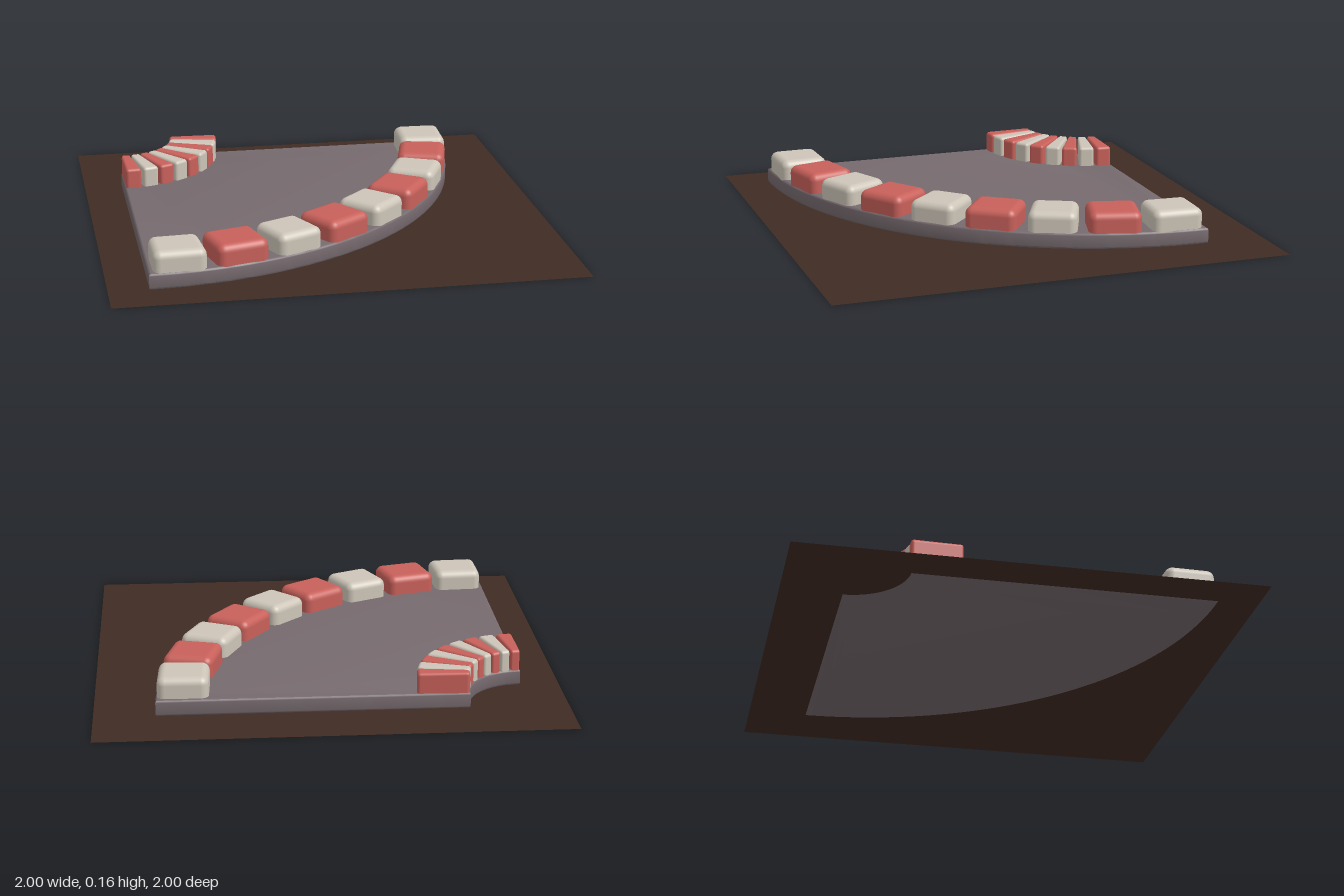
import * as THREE from 'three';
import { toCreasedNormals } from 'three/addons/utils/BufferGeometryUtils.js';
import { RoundedBoxGeometry } from 'three/addons/geometries/RoundedBoxGeometry.js';

const CX = -0.83, CZ = -0.74; // centre of the quarter bend
const INNER = 0.25, OUTER = 1.57;

const material = (name, color, side = THREE.FrontSide) => {
  const m = new THREE.MeshStandardMaterial({ color, side });
  m.name = name;
  return m;
};

// Rounded kerb stone: local x points outward, z runs along the curve and tapers inward
function stoneGeometry(depth, height, innerWidth, outerWidth, radius) {
  const geo = new RoundedBoxGeometry(depth, height, outerWidth, 4, radius);
  const p = geo.attributes.position;
  for (let i = 0; i < p.count; i++) {
    const t = THREE.MathUtils.clamp(p.getX(i) / depth + 0.5, 0, 1);
    p.setZ(i, p.getZ(i) * THREE.MathUtils.lerp(innerWidth / outerWidth, 1, t));
  }
  return geo;
}

export function createModel() {
  const model = new THREE.Group();
  model.name = 'trackCorner';
  const brown = material('groundBrown', 0x402b23, THREE.DoubleSide);
  const grey = material('asphaltGrey', 0x766a6e);
  const red = material('kerbRed', 0xc8605a);
  const cream = material('kerbCream', 0xcdc5b8);

  const add = (parent, name, geo, mat) => {
    const mesh = new THREE.Mesh(geo, mat);
    mesh.name = name;
    parent.add(mesh);
    return mesh;
  };

  // Flat square ground, a hair above the slab's underside
  const ground = add(model, 'ground', new THREE.PlaneGeometry(2, 2).rotateX(-Math.PI / 2), brown);
  ground.position.y = 0.001;

  // Quarter-ring road slab with softened edges
  const shape = new THREE.Shape();
  shape.moveTo(INNER, 0);
  shape.lineTo(OUTER, 0);
  shape.absarc(0, 0, OUTER, 0, Math.PI / 2, false);
  shape.lineTo(0, INNER);
  shape.absarc(0, 0, INNER, Math.PI / 2, 0, true);
  const slab = new THREE.ExtrudeGeometry(shape, {
    depth: 0.05, bevelEnabled: true, bevelThickness: 0.01, bevelSize: 0.01,
    bevelOffset: -0.01, bevelSegments: 3, curveSegments: 40,
  });
  slab.rotateX(Math.PI / 2).translate(CX, 0.06, CZ);
  add(model, 'roadSlab', toCreasedNormals(slab, 0.6), grey);

  // Row of nine alternating stones around the bend
  const kerb = (name, radius, firstMat, secondMat, geometryFor, turnFor) => {
    const group = new THREE.Group();
    group.name = name;
    for (let i = 0; i < 9; i++) {
      const angle = THREE.MathUtils.degToRad(5 + 10 * i);
      const stone = add(group, name + 'Stone' + (i + 1), geometryFor(i), i % 2 ? secondMat : firstMat);
      stone.position.set(CX + radius * Math.cos(angle), 0.081, CZ + radius * Math.sin(angle));
      stone.rotation.y = -angle + turnFor(i);
    }
    model.add(group);
  };

  const creamStone = stoneGeometry(0.217, 0.156, 0.205, 0.215, 0.034);
  const redStone = stoneGeometry(0.217, 0.156, 0.225, 0.23, 0.034);
  const endStone = stoneGeometry(0.217, 0.156, 0.212, 0.228, 0.034);
  kerb('outerKerb', 1.456, cream, red,
    (i) => (i === 0 || i === 8 ? endStone : i % 2 ? redStone : creamStone),
    (i) => (i === 0 ? 0.035 : i === 8 ? -0.035 : 0));

  const innerStone = stoneGeometry(0.222, 0.156, 0.038, 0.072, 0.014);
  kerb('innerKerb', 0.364, red, cream, () => innerStone, () => 0);

  return model;
}
